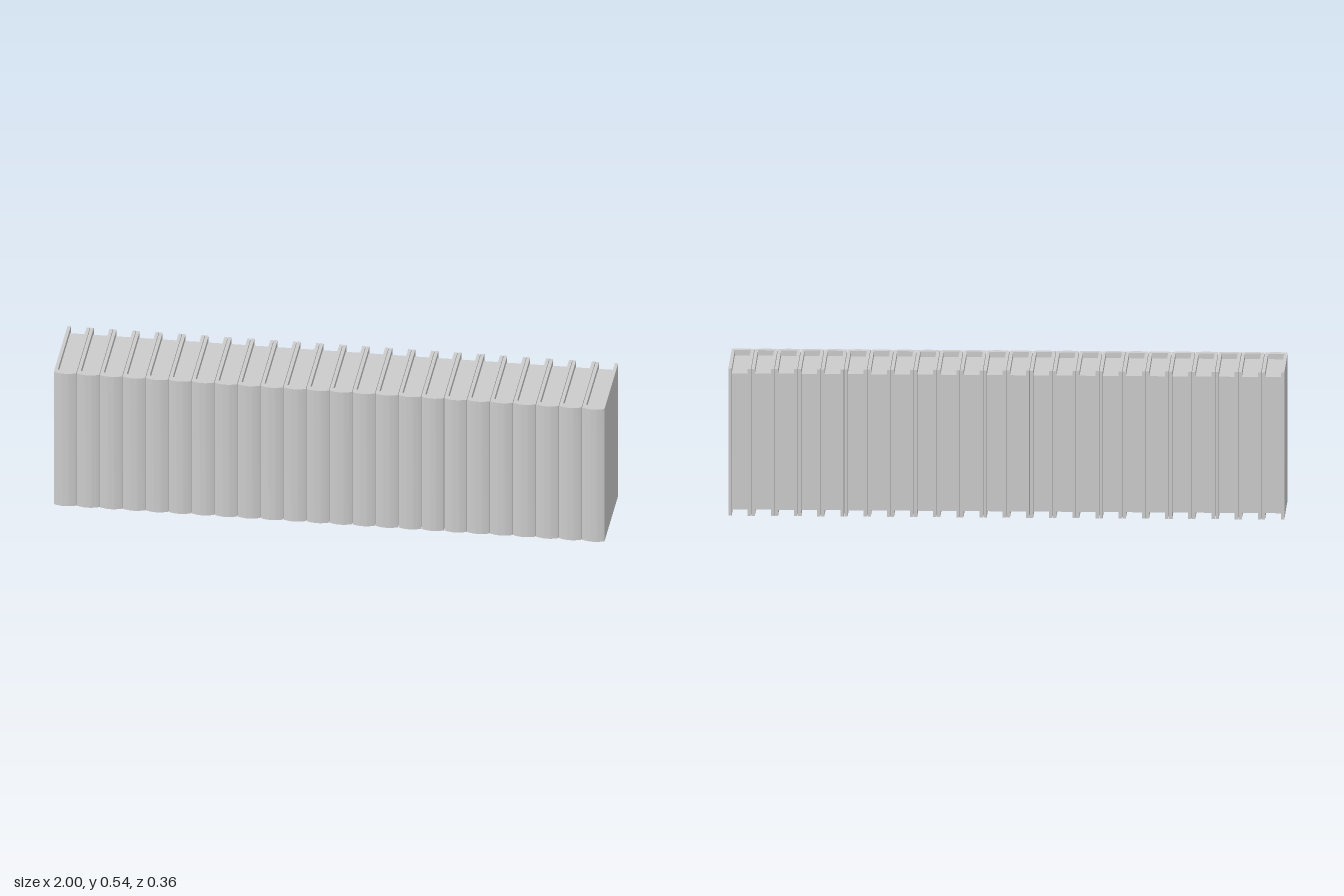
import * as THREE from 'three';
import { toCreasedNormals } from 'three/addons/utils/BufferGeometryUtils.js';

const COUNT = 24;
const WIDTH = 0.0815;
const HEIGHT = 0.54;
const BOARD = 0.012; // cover board thickness
const BACK = -0.18, SHOULDER = 0.17, CROWN = 0.18, SPINE_INNER = 0.15;
const PAGE_BACK = -0.165, PAGE_RECESS = 0.02;

// U-shaped cover in plan with a rounded spine, extruded upwards
function coverGeometry() {
  const h = WIDTH / 2, inner = h - BOARD;
  const shape = new THREE.Shape();
  // plan y is -z, so that the extrusion turns upright
  shape.moveTo(-h, -BACK);
  shape.lineTo(-h, -SHOULDER);
  shape.quadraticCurveTo(0, -(2 * CROWN - SHOULDER), h, -SHOULDER);
  shape.lineTo(h, -BACK);
  shape.lineTo(inner, -BACK);
  shape.lineTo(inner, -SPINE_INNER);
  shape.lineTo(-inner, -SPINE_INNER);
  shape.lineTo(-inner, -BACK);
  shape.closePath();
  const geometry = new THREE.ExtrudeGeometry(shape, { depth: HEIGHT, bevelEnabled: false, curveSegments: 12 });
  geometry.rotateX(-Math.PI / 2);
  return toCreasedNormals(geometry, 0.4);
}

// Block of pages, set in from the cover edges
function pagesGeometry() {
  const geometry = new THREE.BoxGeometry(WIDTH - 2 * BOARD, HEIGHT - 2 * PAGE_RECESS, SPINE_INNER - PAGE_BACK);
  return geometry.translate(0, HEIGHT / 2, (SPINE_INNER + PAGE_BACK) / 2);
}

export function createModel() {
  const model = new THREE.Group();
  model.name = 'bookRow';
  const material = new THREE.MeshStandardMaterial({ color: 0xcccccc });
  const parts = { cover: coverGeometry(), pages: pagesGeometry() };

  // Identical books standing side by side
  const pitch = (2 - WIDTH) / (COUNT - 1);
  for (let i = 0; i < COUNT; i++) {
    const book = new THREE.Group();
    book.name = `book${i + 1}`;
    for (const [name, geometry] of Object.entries(parts)) {
      const mesh = new THREE.Mesh(geometry, material);
      mesh.name = name;
      book.add(mesh);
    }
    book.position.x = -1 + WIDTH / 2 + i * pitch;
    model.add(book);
  }
  return model;
}
